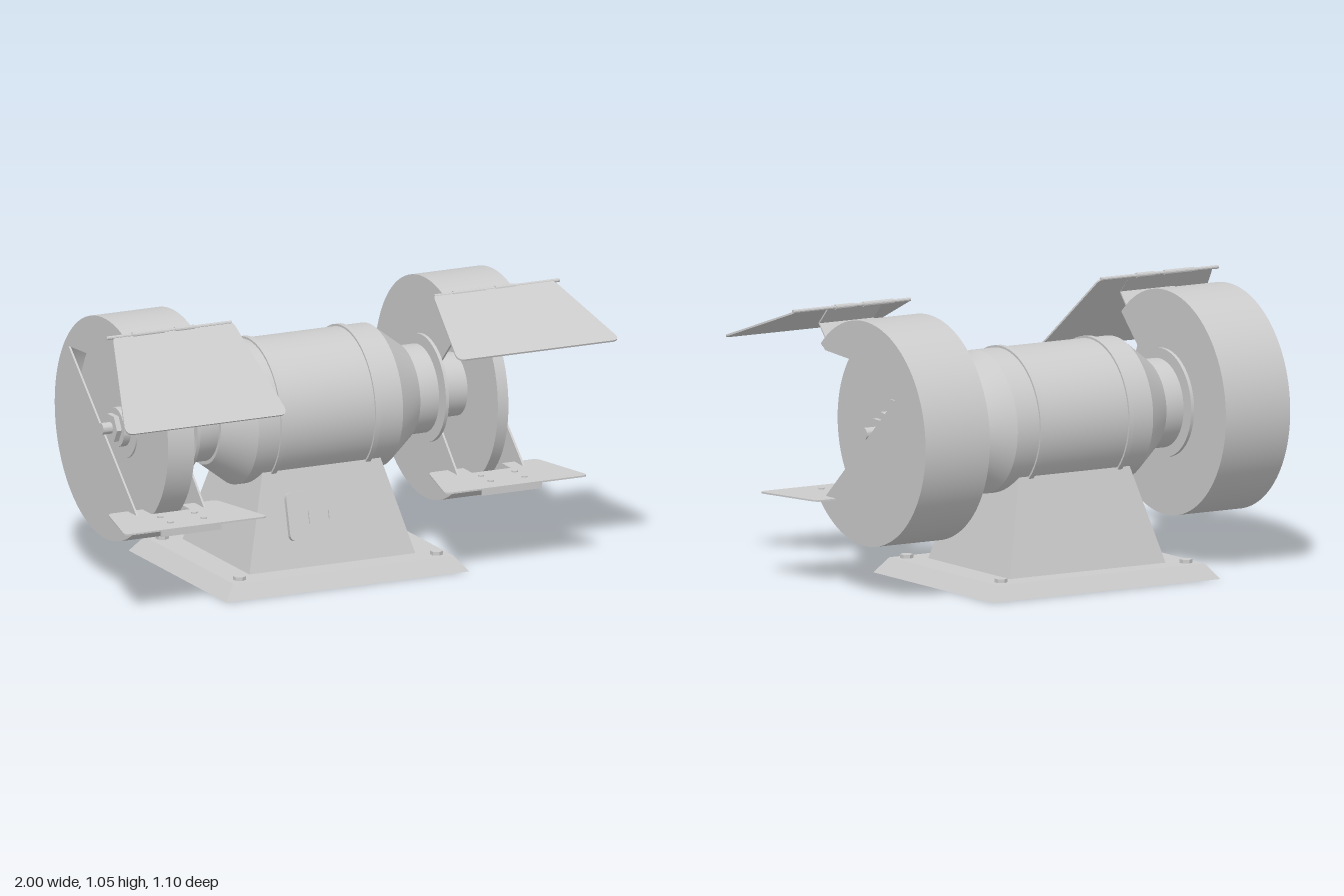
import * as THREE from 'three';
import { toCreasedNormals } from 'three/addons/utils/BufferGeometryUtils.js';

const AXIS_Y = 0.622, AXIS_Z = -0.125;

export function createModel() {
  const root = new THREE.Group();
  const mat = new THREE.MeshStandardMaterial({ color: 0xcccccc, side: THREE.DoubleSide });

  function add(name, geo, x = 0, y = 0, z = 0) {
    const mesh = new THREE.Mesh(toCreasedNormals(geo, 0.5), mat);
    mesh.name = name;
    mesh.position.set(x, y, z);
    root.add(mesh);
    return mesh;
  }

  // Box whose top is narrower than its bottom
  function frustum(name, y0, y1, bottom, top) {
    const g = new THREE.BoxGeometry(1, y1 - y0, 1);
    const p = g.attributes.position;
    for (let i = 0; i < p.count; i++) {
      const size = p.getY(i) > 0 ? top : bottom;
      p.setX(i, p.getX(i) * size[0]);
      p.setZ(i, p.getZ(i) * size[1]);
    }
    add(name, g, 0, (y0 + y1) / 2, AXIS_Z - 0.002);
  }

  // Round or hexagonal part on the shaft axis, from x = a to x = b
  function disc(name, a, b, r, sides = 48) {
    const g = new THREE.CylinderGeometry(r, r, Math.abs(b - a), sides).rotateZ(Math.PI / 2);
    add(name, g, (a + b) / 2, AXIS_Y, AXIS_Z);
  }

  // Shape drawn in (z, y) around the shaft axis, thick from x = a to x = b
  function slab(name, shape, a, b) {
    const g = new THREE.ExtrudeGeometry(shape, { depth: Math.abs(b - a), bevelEnabled: false, curveSegments: 56 });
    add(name, g.rotateY(-Math.PI / 2), Math.max(a, b), AXIS_Y, AXIS_Z);
  }

  // Bent sheet that follows [z, y] points
  function bentStrip(name, pts, x, width) {
    for (let i = 1; i < pts.length; i++) {
      const [z0, y0] = pts[i - 1], [z1, y1] = pts[i];
      const g = new THREE.BoxGeometry(width, 0.006, Math.hypot(z1 - z0, y1 - y0) + 0.004);
      add(name, g.rotateX(-Math.atan2(y1 - y0, z1 - z0)), x, (y0 + y1) / 2, (z0 + z1) / 2);
    }
  }

  function roundedRect(w, h, r) {
    const s = new THREE.Shape(), x = w / 2, y = h / 2;
    s.moveTo(-x + r, -y).lineTo(x - r, -y).quadraticCurveTo(x, -y, x, -y + r);
    s.lineTo(x, y - r).quadraticCurveTo(x, y, x - r, y).lineTo(-x + r, y);
    s.quadraticCurveTo(-x, y, -x, y - r).lineTo(-x, -y + r).quadraticCurveTo(-x, -y, -x + r, -y);
    return s;
  }

  // Base, bolts and pedestal
  frustum('base', 0.012, 0.07, [1.01, 0.827], [0.915, 0.753]);
  frustum('pedestal', 0.07, 0.46, [0.69, 0.566], [0.475, 0.366]);
  for (const x of [-0.41, 0.41]) for (const z of [0.204, -0.45]) {
    add('baseBolt', new THREE.CylinderGeometry(0.025, 0.025, 0.014, 6), x, 0.077, z);
  }

  // Switch plate on the sloping front of the pedestal
  const tilt = -Math.atan2(0.1, 0.39);
  const plate = new THREE.ExtrudeGeometry(roundedRect(0.298, 0.182, 0.025), { depth: 0.018, bevelEnabled: false });
  add('switchPlate', plate.rotateX(tilt), -0.019, 0.258, 0.108);
  add('switchHousing', new THREE.BoxGeometry(0.14, 0.05, 0.008).rotateX(tilt), -0.015, 0.255, 0.129);
  add('switchRocker', new THREE.BoxGeometry(0.05, 0.035, 0.014).rotateX(tilt), 0.02, 0.257, 0.132);

  // Motor housing with tapered ends and two bands
  const profile = [[0, -0.5], [0.168, -0.5], [0.168, -0.415], [0.182, -0.415], [0.27, -0.3],
    [0.27, 0.3], [0.182, 0.415], [0.168, 0.415], [0.168, 0.5], [0, 0.5]].map(p => new THREE.Vector2(...p));
  add('motorHousing', new THREE.LatheGeometry(profile, 56).rotateZ(-Math.PI / 2), 0, AXIS_Y, AXIS_Z);
  for (const x of [-0.2, 0.193]) disc('motorBand', x - 0.01, x + 0.01, 0.278, 56);

  // Guard outlines: rim open at the front, outer plate with a wedge, inner plate with a quarter cut
  const R = 0.425, q = Math.PI / 4;
  const rim = new THREE.Shape();
  rim.absarc(0, 0, R, q, 7 * q, false);
  rim.absarc(0, 0, R - 0.014, 7 * q, q, true);
  rim.closePath();
  const outerPlate = new THREE.Shape();
  outerPlate.absarc(0, 0, R, q, 7 * q, false);
  outerPlate.lineTo(0.27, -0.276).lineTo(-0.309, 0.244).lineTo(0.27, 0.278).closePath();
  const innerPlate = new THREE.Shape();
  innerPlate.absarc(0, 0, R, q, 7 * q, false);
  innerPlate.lineTo(0, 0).closePath();

  const sides = [
    { s: -1, wheel: [0.62, 0.73], flange: 0.765, nut: 0.785, end: 0.825, drop: [0.292, 0.297] },
    { s: 1, wheel: [0.642, 0.686], flange: 0.735, nut: 0.755, end: 0.81, drop: [0.39, 0.145] },
  ];
  for (const { s, wheel, flange, nut, end, drop } of sides) {
    const cx = s * 0.667;

    // Shaft, grinding wheel and clamping parts
    disc('shaft', s * 0.48, s * end, 0.022, 24);
    disc('shaftCollar', s * 0.49, s * 0.53, 0.058, 32);
    disc('innerFlange', s * 0.53, s * wheel[0], 0.12);
    disc('grindingWheel', s * wheel[0], s * wheel[1], 0.376, 72);
    disc('wheelWasher', s * wheel[1], s * (wheel[1] + 0.006), 0.12);
    disc('outerFlange', s * wheel[1], s * flange, 0.075);
    disc('shaftNut', s * flange, s * nut, 0.056, 6);

    // Wheel guard
    slab('guardRim', rim, s * 0.523, s * 0.808);
    slab('guardOuterPlate', outerPlate, s * 0.8, s * 0.808);
    slab('guardInnerPlate', innerPlate, s * 0.523, s * 0.531);
    disc('guardMount', s * 0.51, s * 0.523, 0.205);

    // Eye shield, hinged above the guard
    bentStrip('shieldBracket', [[0.047, 1.012], [0.168, 0.928], [0.222, 0.99], [0.16, 1.055]], cx, 0.24);
    const pin = new THREE.CylinderGeometry(0.007, 0.007, 0.52, 10).rotateZ(Math.PI / 2);
    add('hingePin', pin, s * 0.682, 1.056, 0.16);
    for (const [a, b] of [[-0.168, -0.035], [0.008, 0.088]]) {
      const knuckle = new THREE.CylinderGeometry(0.01, 0.01, b - a, 12).rotateZ(Math.PI / 2);
      add('hingeKnuckle', knuckle, cx + (a + b) / 2, 1.056, 0.16);
    }
    const len = Math.hypot(...drop), shield = new THREE.Shape();
    shield.moveTo(-0.235, 0).quadraticCurveTo(-0.25, 0, -0.255, -0.025);
    shield.lineTo(-0.332, -len + 0.035).quadraticCurveTo(-0.337, -len, -0.305, -len);
    shield.lineTo(0.305, -len).quadraticCurveTo(0.337, -len, 0.332, -len + 0.035);
    shield.lineTo(0.255, -0.025).quadraticCurveTo(0.25, 0, 0.235, 0).closePath();
    const shieldGeo = new THREE.ExtrudeGeometry(shield, { depth: 0.007, bevelEnabled: false });
    shieldGeo.translate(0, 0, -0.0035).rotateX(-Math.atan2(drop[0], drop[1]));
    add('eyeShield', shieldGeo, cx, 1.056, 0.16);

    // Tool rest, slotted around the wheel
    const rest = new THREE.Shape();
    rest.moveTo(-0.205, 0.07).lineTo(-0.08, 0.07).lineTo(-0.08, 0.145).lineTo(0.08, 0.145);
    rest.lineTo(0.08, 0.07).lineTo(0.205, 0.07).quadraticCurveTo(0.225, 0.07, 0.232, 0.095);
    rest.lineTo(0.293, 0.34).quadraticCurveTo(0.296, 0.363, 0.27, 0.363);
    rest.lineTo(-0.27, 0.363).quadraticCurveTo(-0.296, 0.363, -0.293, 0.34);
    rest.lineTo(-0.232, 0.095).quadraticCurveTo(-0.225, 0.07, -0.205, 0.07);
    const restGeo = new THREE.ExtrudeGeometry(rest, { depth: 0.006, bevelEnabled: false });
    add('toolRest', restGeo.rotateX(Math.PI / 2), cx, 0.349, 0);
    bentStrip('restBracket', [[0.317, 0.31], [0.317, 0.338], [0.165, 0.338], [0.168, 0.322], [0.06, 0.25]], cx, 0.25);
    for (const x of [-0.07, 0.07]) for (const z of [0.2, 0.283]) {
      add('restScrew', new THREE.CylinderGeometry(0.012, 0.012, 0.007, 16), cx + x, 0.351, z);
    }
  }
  return root;
}
